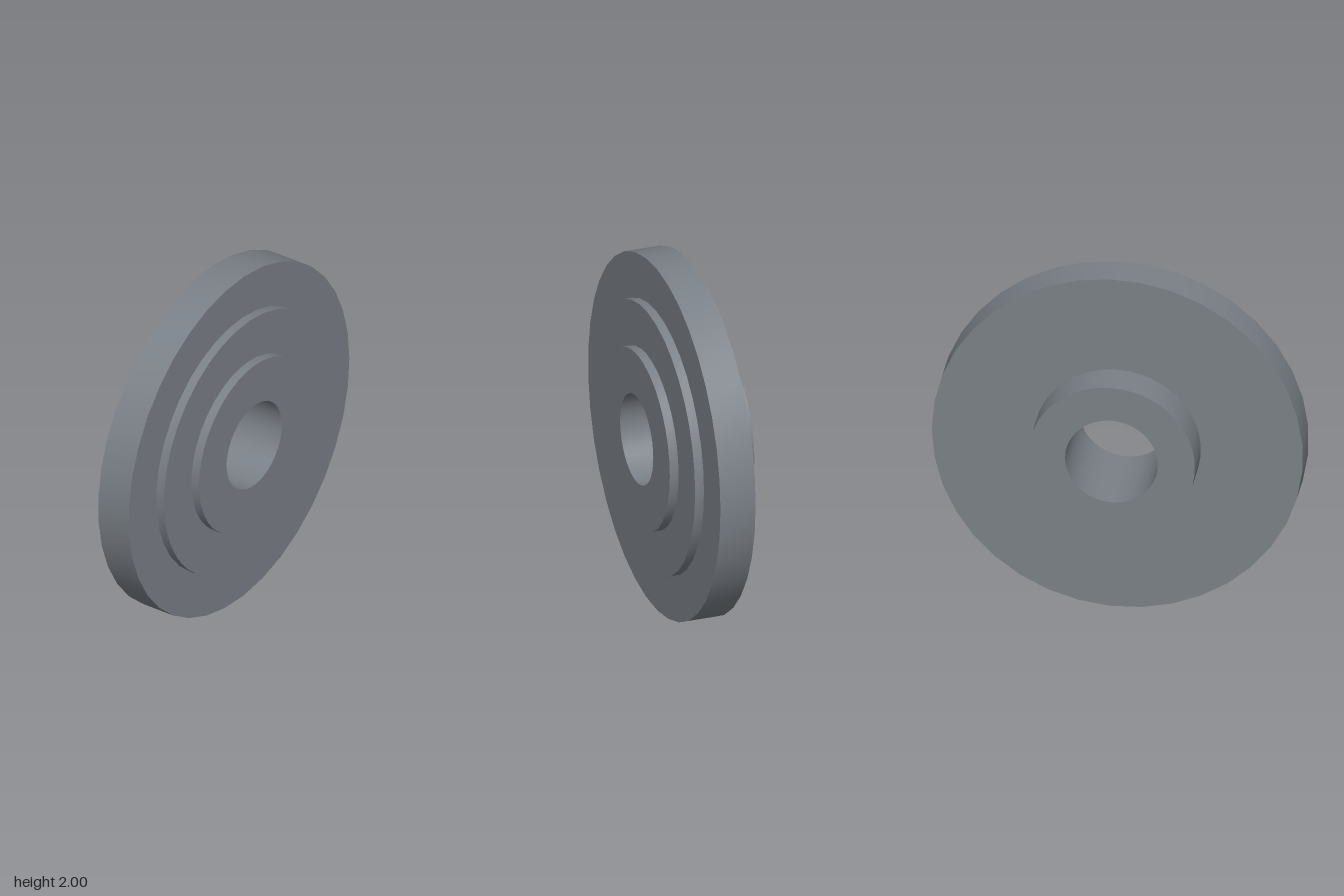
import * as THREE from 'three';
import { toCreasedNormals } from 'three/addons/utils/BufferGeometryUtils.js';

const SEGMENTS = 37;

// Each part is a [radius, position along x] profile, joined end to end into one closed skin.
const PROFILES = {
  hub: [[0.45, -0.05], [0.45, -0.25], [0.25, -0.25]].reverse(),
  flange: [[0.45, -0.05], [1, -0.05], [1, 0.15], [0.75, 0.15]],
  wideStep: [[0.75, 0.15], [0.75, 0.2], [0.5, 0.2]],
  narrowStep: [[0.5, 0.2], [0.5, 0.25], [0.25, 0.25]],
  bore: [[0.25, 0.25], [0.25, -0.25]],
};

export function createModel() {
  const group = new THREE.Group();
  group.name = 'steppedFlange';
  const material = new THREE.MeshStandardMaterial({ color: 0x7a8087 });

  for (const [name, profile] of Object.entries(PROFILES)) {
    const points = profile.map(([r, x]) => new THREE.Vector2(r, x));
    // the first corner of every ring points to the back
    const lathe = new THREE.LatheGeometry(points, SEGMENTS, Math.PI);
    lathe.rotateZ(-Math.PI / 2); // turn the axis from y to x
    lathe.translate(0, 1, 0);
    const mesh = new THREE.Mesh(toCreasedNormals(lathe, Math.PI / 6), material);
    mesh.name = name;
    group.add(mesh);
  }
  return group;
}
